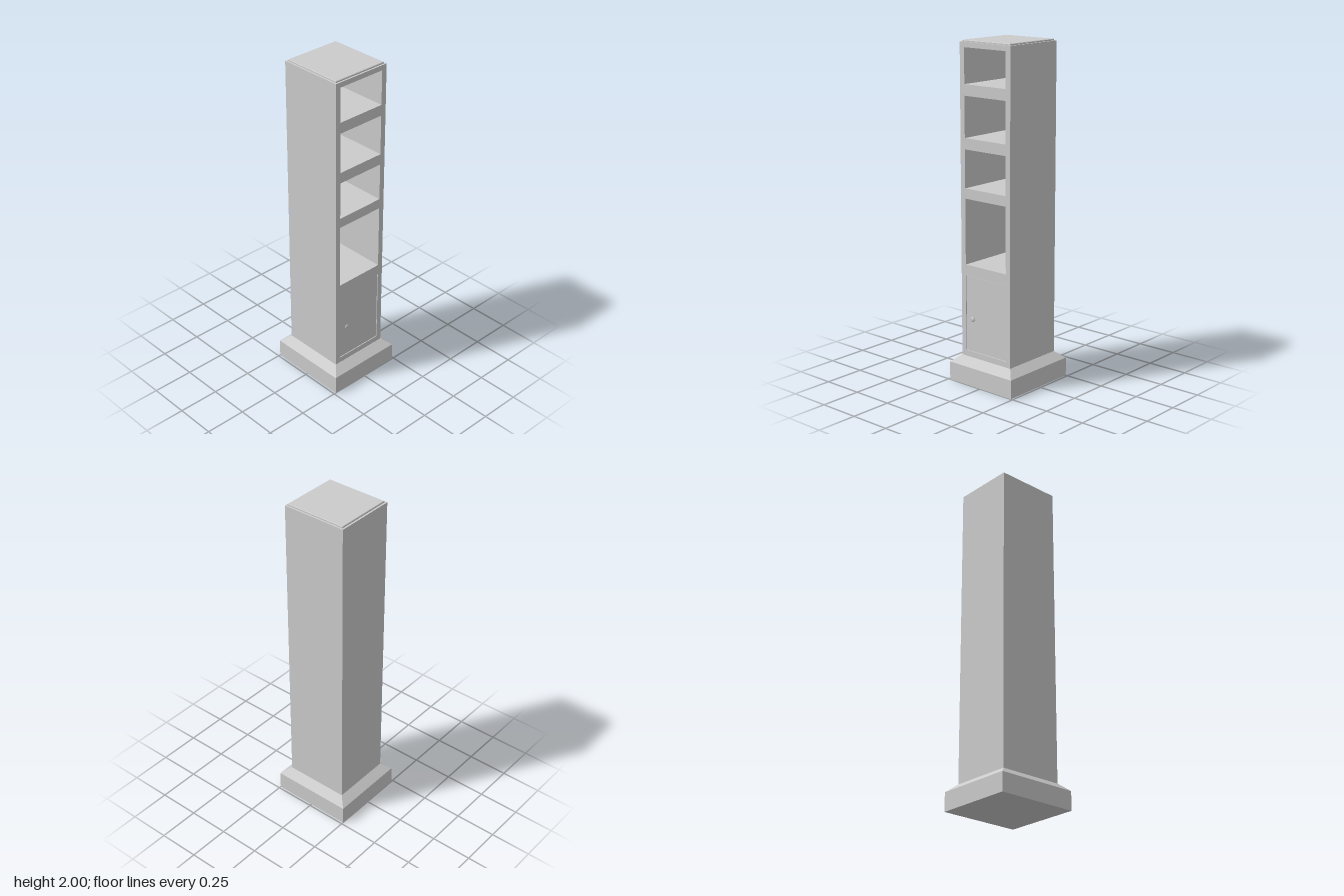
import * as THREE from 'three';

const material = new THREE.MeshStandardMaterial({ color: 0xcccccc });

function part(name, geometry, x = 0, y = 0, z = 0) {
  const mesh = new THREE.Mesh(geometry, material);
  mesh.name = name;
  mesh.position.set(x, y, z);
  return mesh;
}

// Stack of rectangular sections [halfX, y, halfZ] with closed ends, flat faced
function rectLoft(sections) {
  const corners = ([a, y, b]) => [[-a, y, b], [a, y, b], [a, y, -b], [-a, y, -b]];
  const positions = [];
  const quad = (a, b, c, d) => positions.push(...a, ...b, ...c, ...a, ...c, ...d);
  const rings = sections.map(corners);
  for (let i = 0; i < rings.length - 1; i++) {
    for (let j = 0; j < 4; j++) {
      const k = (j + 1) % 4;
      quad(rings[i][j], rings[i][k], rings[i + 1][k], rings[i + 1][j]);
    }
  }
  quad(...[...rings[0]].reverse());
  quad(...rings[rings.length - 1]);
  const geometry = new THREE.BufferGeometry();
  geometry.setAttribute('position', new THREE.Float32BufferAttribute(positions, 3));
  geometry.computeVertexNormals();
  return geometry;
}

function rectangle(path, halfWidth, bottom, top) {
  path.moveTo(-halfWidth, bottom);
  path.lineTo(halfWidth, bottom);
  path.lineTo(halfWidth, top);
  path.lineTo(-halfWidth, top);
  path.closePath();
  return path;
}

export function createModel() {
  const model = new THREE.Group();
  model.name = 'shelfColumn';

  const halfDepth = 0.186, openingHalf = 0.153;
  const bottom = 0.11, top = 1.99;
  const back = -0.198, front = 0.197, backThickness = 0.03;
  const door = [0.19, 0.645];
  const shelves = [[0.71, 1.1], [1.16, 1.385], [1.45, 1.69], [1.755, 1.96]];

  // Plinth with sloping shoulders
  model.add(part('plinth', rectLoft([
    [0.25, 0, 0.237], [0.25, 0.112, 0.237], [0.198, 0.155, 0.187],
  ])));

  // Column body with compartments opening towards +x
  const outline = rectangle(new THREE.Shape(), halfDepth, bottom, top);
  for (const [low, high] of [door, ...shelves]) {
    outline.holes.push(rectangle(new THREE.Path(), openingHalf, low, high));
  }
  const bodyGeometry = new THREE.ExtrudeGeometry(outline, {
    depth: front - back - backThickness, bevelEnabled: false,
  });
  bodyGeometry.rotateY(Math.PI / 2);
  model.add(part('columnBody', bodyGeometry, back + backThickness));

  // Back panel closing the compartments
  model.add(part('backPanel',
    new THREE.BoxGeometry(backThickness, top - bottom, halfDepth * 2),
    back + backThickness / 2, (top + bottom) / 2));

  // Thin raised cap
  model.add(part('topCap', rectLoft([
    [0.187, 1.985, 0.175], [0.187, 1.997, 0.175], [0.184, 2, 0.172],
  ])));

  // Cupboard door with a fine gap around it
  const gap = 0.002, doorThickness = 0.02;
  model.add(part('door', new THREE.BoxGeometry(
    doorThickness, door[1] - door[0] - gap * 2, (openingHalf - gap) * 2),
  front - 0.003 - doorThickness / 2, (door[0] + door[1]) / 2));

  // Round door knob
  const knobProfile = [[0, -0.005], [0.009, -0.005], [0.009, 0.001], [0.016, 0.003],
    [0.016, 0.006], [0.011, 0.009], [0, 0.01]].map(([r, y]) => new THREE.Vector2(r, y));
  const knobGeometry = new THREE.LatheGeometry(knobProfile, 24);
  knobGeometry.rotateZ(-Math.PI / 2);
  model.add(part('doorKnob', knobGeometry, front - 0.002, 0.39, 0.099));

  return model;
}
